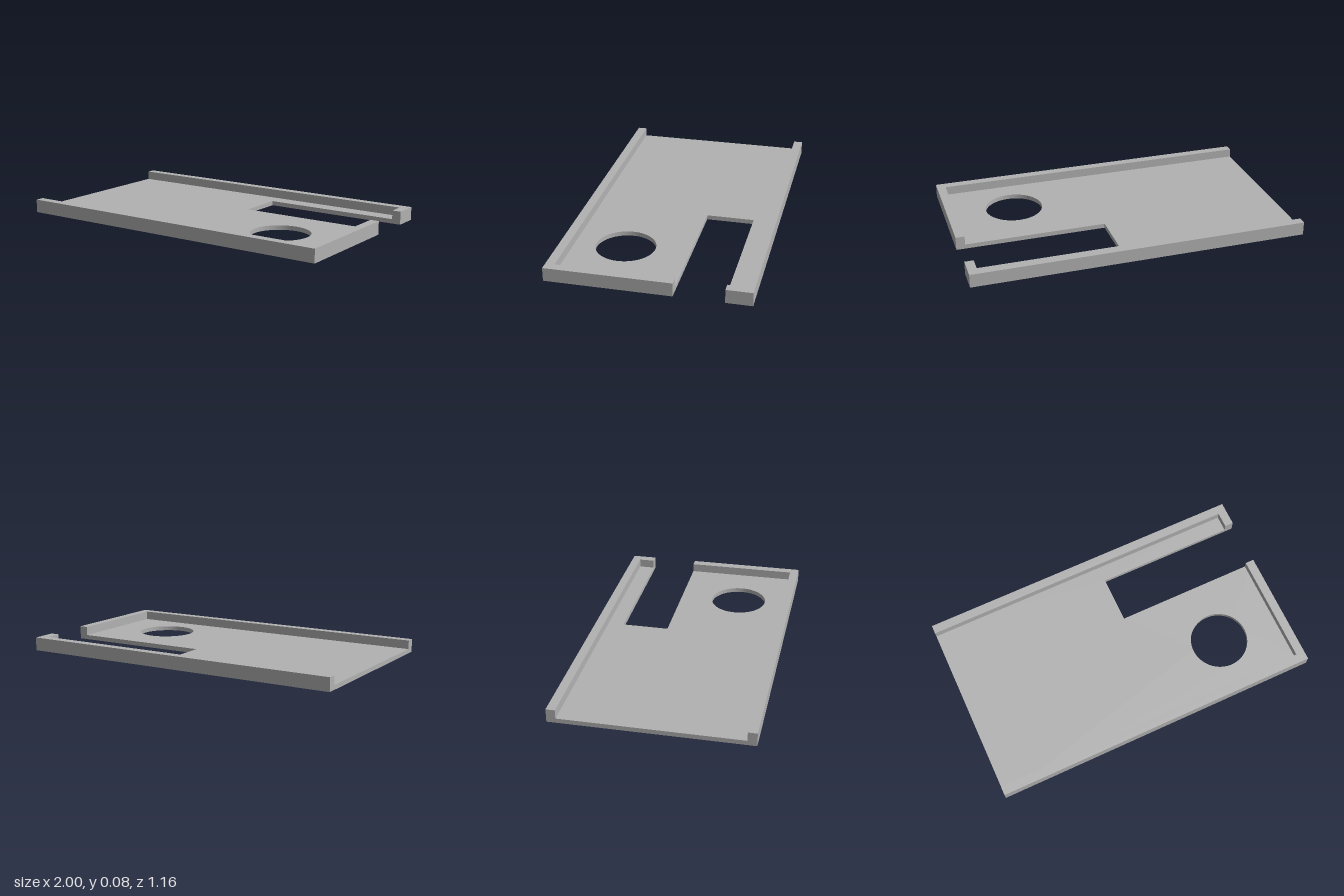
import * as THREE from 'three';

const HALF_X = 1, HALF_Z = 0.579; // footprint
const FLOOR = 0.027, HEIGHT = 0.08; // floor thickness, rim top
const INNER_X = 0.947, INNER_Z = 0.526; // inner faces of the rim
const SLOT_X = 0.102, SLOT_BACK = -0.43, SLOT_FRONT = -0.146; // open slot on the +x side

// Outline given as [x, z] pairs
function outline(points) {
  return new THREE.Shape(points.map(([x, z]) => new THREE.Vector2(x, -z)));
}

// Extrude an outline upward from y0 to y1
function slab(name, shape, y0, y1, material) {
  const geometry = new THREE.ExtrudeGeometry(shape, {
    depth: y1 - y0, bevelEnabled: false, curveSegments: 48,
  });
  geometry.rotateX(-Math.PI / 2).translate(0, y0, 0);
  const mesh = new THREE.Mesh(geometry, material);
  mesh.name = name;
  return mesh;
}

export function createModel() {
  const model = new THREE.Group();
  model.name = 'slottedTray';
  const grey = new THREE.MeshStandardMaterial({ color: 0xb2b2b2 });
  grey.name = 'grey';

  // Floor with the side slot and the round hole
  const floor = outline([
    [-HALF_X, HALF_Z], [HALF_X, HALF_Z], [HALF_X, SLOT_FRONT], [SLOT_X, SLOT_FRONT],
    [SLOT_X, SLOT_BACK], [HALF_X, SLOT_BACK], [HALF_X, -HALF_Z], [-HALF_X, -HALF_Z],
  ]);
  floor.holes.push(new THREE.Path().absarc(0.575, -0.23, 0.174, 0, Math.PI * 2, true));
  model.add(slab('floor', floor, 0, FLOOR, grey));

  // L-shaped rims along front and back, each turning the corner up to the slot
  for (const [name, side, slotEdge] of [['frontRim', 1, SLOT_FRONT], ['backRim', -1, SLOT_BACK]]) {
    const rim = outline([
      [-HALF_X, side * HALF_Z], [HALF_X, side * HALF_Z], [HALF_X, slotEdge],
      [INNER_X, slotEdge], [INNER_X, side * INNER_Z], [-HALF_X, side * INNER_Z],
    ]);
    model.add(slab(name, rim, FLOOR, HEIGHT, grey));
  }
  return model;
}
